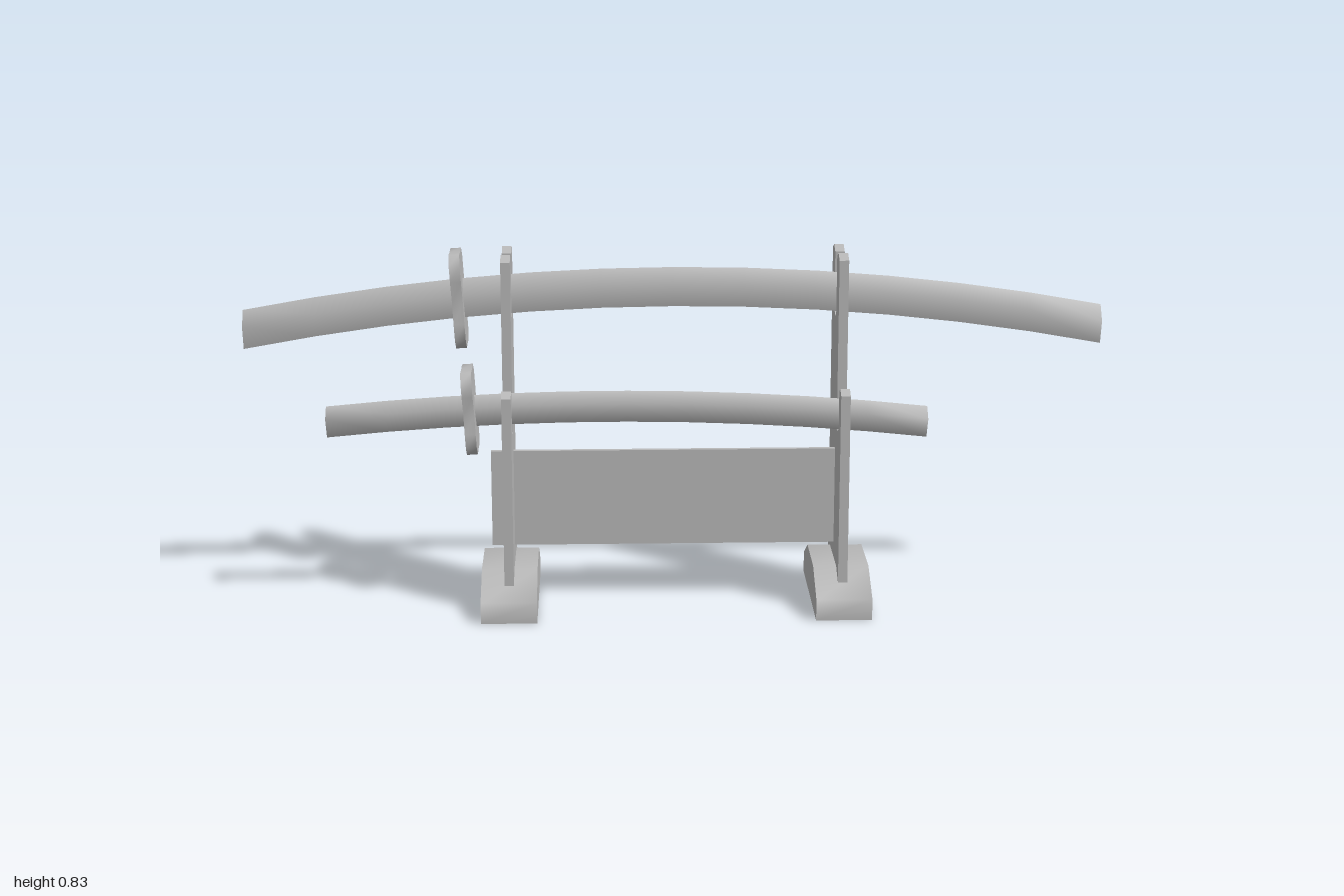
import * as THREE from 'three';
import { toCreasedNormals, mergeVertices } from 'three/addons/utils/BufferGeometryUtils.js';

const grey = new THREE.MeshStandardMaterial({ color: 0xb8b8b8, side: THREE.DoubleSide });
grey.name = 'plain grey';

// Side profile of [z, y] points, extruded to a thickness centred on x = 0
function profile(points, thickness) {
  const shape = new THREE.Shape(points.map(([z, y]) => new THREE.Vector2(z, y)));
  const geo = new THREE.ExtrudeGeometry(shape, { depth: thickness, bevelEnabled: false });
  return geo.translate(0, 0, -thickness / 2).rotateY(-Math.PI / 2);
}

// Drop the faces that look straight down, leaving the underside open
function openBottom(geo) {
  const pos = geo.attributes.position, nor = geo.attributes.normal, kept = [];
  for (let i = 0; i < pos.count; i += 3) {
    if (nor.getY(i) < -0.9) continue;
    for (let j = i; j < i + 3; j++) kept.push(pos.getX(j), pos.getY(j), pos.getZ(j));
  }
  const out = new THREE.BufferGeometry();
  out.setAttribute('position', new THREE.Float32BufferAttribute(kept, 3));
  return out;
}

// Curved bar: a [z, y] section swept along x, its height following curve(x)
function sweptBar(section, x0, x1, curve, segments, crease) {
  const n = section.length, verts = [], index = [];
  for (let i = 0; i <= segments; i++) {
    const x = x0 + (x1 - x0) * i / segments;
    for (const [z, y] of section) verts.push(x, curve(x) + y, z);
  }
  for (let i = 0; i < segments; i++) {
    for (let j = 0; j < n; j++) {
      const a = i * n + j, b = i * n + (j + 1) % n;
      index.push(a, b, a + n, b, b + n, a + n);
    }
  }
  const last = segments * n;
  for (let j = 1; j < n - 1; j++) {
    index.push(0, j + 1, j, last, last + j, last + j + 1);
  }
  const geo = new THREE.BufferGeometry();
  geo.setAttribute('position', new THREE.Float32BufferAttribute(verts, 3));
  geo.setIndex(index);
  return toCreasedNormals(geo, crease);
}

// Waisted, corner-cut guard plate
function guardGeometry(w, h) {
  const quarter = [[w * 0.87, 0], [w, h * 0.45], [w, h * 0.8], [w * 0.67, h]];
  const right = quarter.concat([[0, h * 0.98]]);
  const left = quarter.slice().reverse().map(([z, y]) => [-z, y]);
  const lowerLeft = quarter.slice(1).map(([z, y]) => [-z, -y]);
  const lowerRight = quarter.slice(1).reverse().map(([z, y]) => [z, -y]);
  const geo = profile([...right, ...left, ...lowerLeft, [0, -h * 0.98], ...lowerRight], 0.025);
  return toCreasedNormals(geo, 1.0);
}

export function createModel() {
  const model = new THREE.Group();
  model.name = 'swordStand';
  const add = (parent, name, geo, x = 0, y = 0, z = 0) => {
    const mesh = new THREE.Mesh(geo, grey);
    mesh.name = name;
    mesh.position.set(x, y, z);
    parent.add(mesh);
    return mesh;
  };

  // Stand: hollow feet and slotted uprights
  const foot = toCreasedNormals(openBottom(profile(
    [[-0.18, 0], [0.18, 0], [0.18, 0.05], [0.08, 0.1], [-0.08, 0.1], [-0.18, 0.05]], 0.13)), 1.2);
  const upright = profile([
    [-0.13, 0.075], [0.13, 0.075],
    [0.13, 0.523], [0.107, 0.535], [0.083, 0.523], [0.083, 0.442], [0.07, 0.424], [0.037, 0.42],
    [0.037, 0.82], [0.008, 0.832], [-0.022, 0.82], [-0.022, 0.69], [-0.035, 0.675],
    [-0.055, 0.675], [-0.07, 0.69], [-0.07, 0.82], [-0.1, 0.832], [-0.13, 0.82]], 0.022);
  for (const [side, x] of [['left', 0.388], ['right', -0.388]]) {
    add(model, side + 'Foot', foot, x);
    add(model, side + 'Upright', upright, x);
  }
  add(model, 'crossPanel', new THREE.BoxGeometry(0.815, 0.23, 0.012), -0.0225, 0.25, 0);

  // Long sword on the upper rest
  const longSword = new THREE.Group();
  longSword.name = 'longSword';
  longSword.position.z = -0.05;
  const longCurve = x => 0.745 - 0.095 * x * x;
  add(longSword, 'longBlade', sweptBar(
    [[0, 0.045], [-0.026, 0.01], [-0.013, -0.045], [0.013, -0.045], [0.026, 0.01]],
    -1, 1, longCurve, 12, 1.2));
  add(longSword, 'longGuard', guardGeometry(0.062, 0.11), -0.5, 0.72).rotation.z = 0.06;
  model.add(longSword);

  // Short sword on the lower rest
  const shortSword = new THREE.Group();
  shortSword.name = 'shortSword';
  shortSword.position.z = 0.053;
  const shortCurve = x => {
    const t = (x + 0.11) / 0.695;
    return 0.484 - 0.037 * t * t - 0.005 * t;
  };
  add(shortSword, 'shortBlade', sweptBar(
    [[0, 0.037], [-0.026, 0.012], [0, -0.037], [0.026, 0.012]],
    -0.805, 0.585, shortCurve, 10, 1.4));
  add(shortSword, 'shortGuard', guardGeometry(0.064, 0.097), -0.474, 0.48).rotation.z = 0.06;
  model.add(shortSword);

  return model;
}
